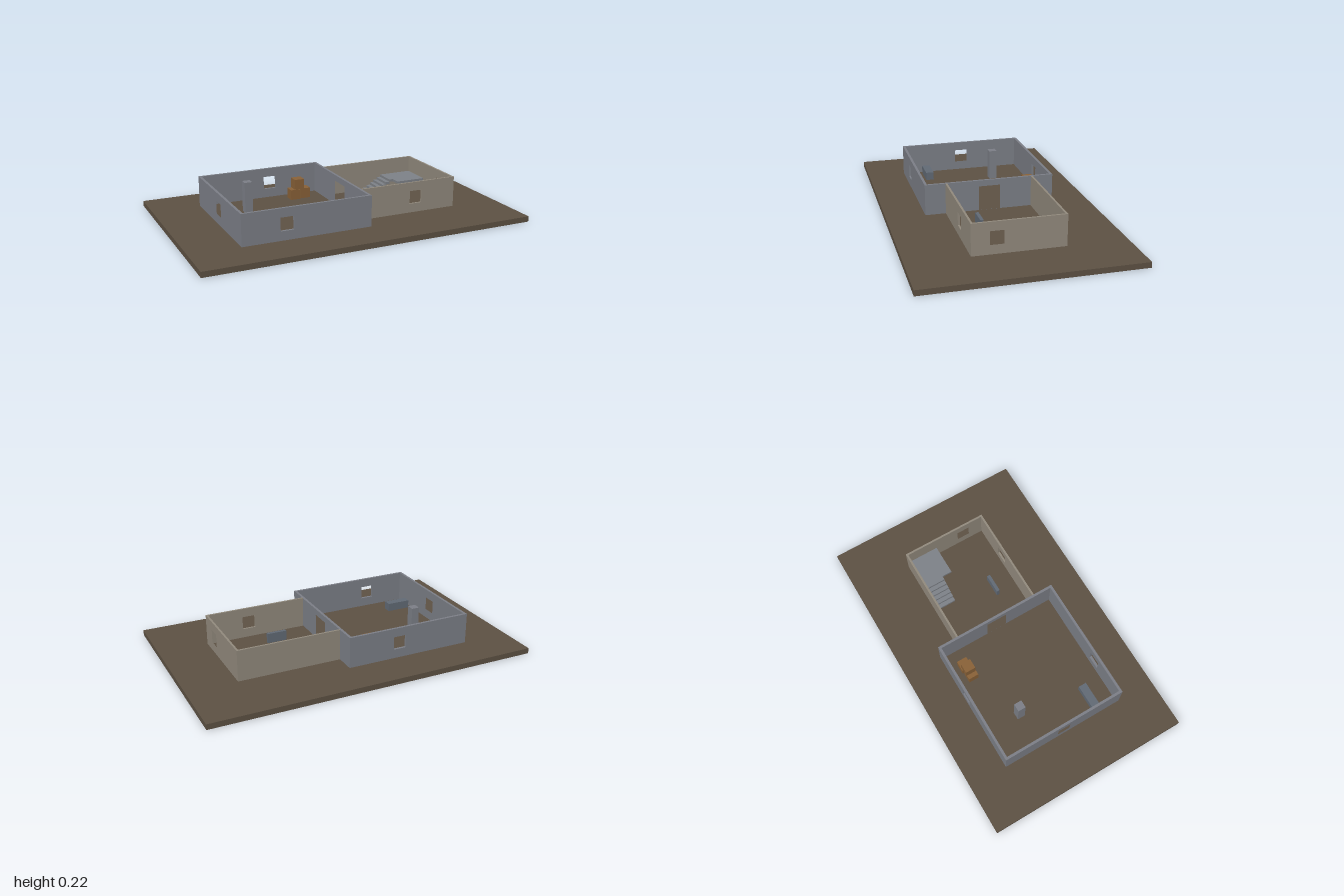
import * as THREE from 'three';

const FLOOR = 0.033;
const WALL_H = 0.187;
const material = (color) => new THREE.MeshStandardMaterial({ color, flatShading: true });

export function createModel() {
  const model = new THREE.Group();
  const mats = {
    ground: material(0x5e5244),
    hall: material(0x7d8088),
    annex: material(0x938b7e),
    stone: material(0x7f8389),
    bench: material(0x626b76),
    crate: material(0x8a6238),
  };

  // Box given by its limits on each axis
  function box(name, mat, [x0, x1], [y0, y1], [z0, z1], parent = model) {
    const mesh = new THREE.Mesh(new THREE.BoxGeometry(x1 - x0, y1 - y0, z1 - z0), mat);
    mesh.position.set((x0 + x1) / 2, (y0 + y1) / 2, (z0 + z1) / 2);
    mesh.name = name;
    parent.add(mesh);
  }

  // Wall running along x or z from a to b, its lower face at "at", with openings [centre, width, bottom, top]
  function wall(name, mat, axis, a, b, at, thick, openings = []) {
    const shape = new THREE.Shape();
    const s = axis === 'x' ? 1 : -1;
    shape.moveTo(s * a, 0).lineTo(s * b, 0).lineTo(s * b, WALL_H).lineTo(s * a, WALL_H).closePath();
    for (const [c, w, y0, y1] of openings) {
      const l = s * c - w / 2, r = s * c + w / 2;
      const hole = new THREE.Path();
      hole.moveTo(l, y0).lineTo(l, y1).lineTo(r, y1).lineTo(r, y0).closePath();
      shape.holes.push(hole);
    }
    const geo = new THREE.ExtrudeGeometry(shape, { depth: thick, bevelEnabled: false });
    if (axis === 'z') geo.rotateY(Math.PI / 2);
    const mesh = new THREE.Mesh(geo, mat);
    mesh.position.set(axis === 'z' ? at : 0, FLOOR, axis === 'x' ? at : 0);
    mesh.name = name;
    model.add(mesh);
  }
  const windowAt = (c) => [c, 0.08, 0.055, 0.134];

  // Ground slab
  box('ground', mats.ground, [-1, 1], [0, FLOOR], [-0.625, 0.625]);

  // Large room
  const T = 0.015, X0 = -0.705, X1 = 0.075, Z = 0.391;
  wall('hallFrontWall', mats.hall, 'x', X0, X1, Z - T, T, [windowAt(-0.44)]);
  wall('hallBackWall', mats.hall, 'x', X0, X1, -Z, T, [windowAt(-0.25)]);
  wall('hallOuterWall', mats.hall, 'z', -Z + T, Z - T, X0, T, [windowAt(0)]);
  wall('sharedWall', mats.hall, 'z', -Z + T, Z - T, X1 - T, T, [[0, 0.13, 0.0005, 0.15]]);

  // Small room
  const t = 0.012, AX = 0.7, AZ = 0.268;
  wall('annexFrontWall', mats.annex, 'x', X1, AX, AZ - t, t, [windowAt(0.435)]);
  wall('annexBackWall', mats.annex, 'x', X1, AX, -AZ, t);
  wall('annexOuterWall', mats.annex, 'z', -AZ + t, AZ - t, AX - t, t, [windowAt(0.125)]);

  // Pillar and benches
  box('pillar', mats.hall, [-0.498, -0.45], [FLOOR, FLOOR + WALL_H], [-0.185, -0.137]);
  box('hallBench', mats.bench, [-0.67, -0.523], [FLOOR, FLOOR + 0.05], [0.222, 0.271]);
  box('annexBench', mats.bench, [0.25, 0.37], [FLOOR, FLOOR + 0.06], [0.113, 0.133]);

  // Stairs and landing
  const stairs = new THREE.Group();
  stairs.name = 'stairs';
  const rise = 0.0148;
  for (let i = 0; i < 6; i++) {
    const x = 0.35 + i * 0.025, y = FLOOR + i * rise;
    box('step', mats.stone, [x, x + 0.025], [y, y + rise], [-0.256, -0.13], stairs);
  }
  model.add(stairs);
  const top = FLOOR + 6 * rise;
  box('landing', mats.stone, [0.5, 0.688], [top - rise, top], [-0.256, -0.067]);

  // Stacked crates
  const crates = new THREE.Group();
  crates.name = 'crates';
  const S = 0.063;
  for (const [x, y, z] of [[-0.123, 0, -0.286], [-0.054, 0, -0.294], [-0.096, S, -0.289]]) {
    box('crate', mats.crate, [x - S / 2, x + S / 2], [FLOOR + y, FLOOR + y + S], [z - S / 2, z + S / 2], crates);
  }
  model.add(crates);

  return model;
}
